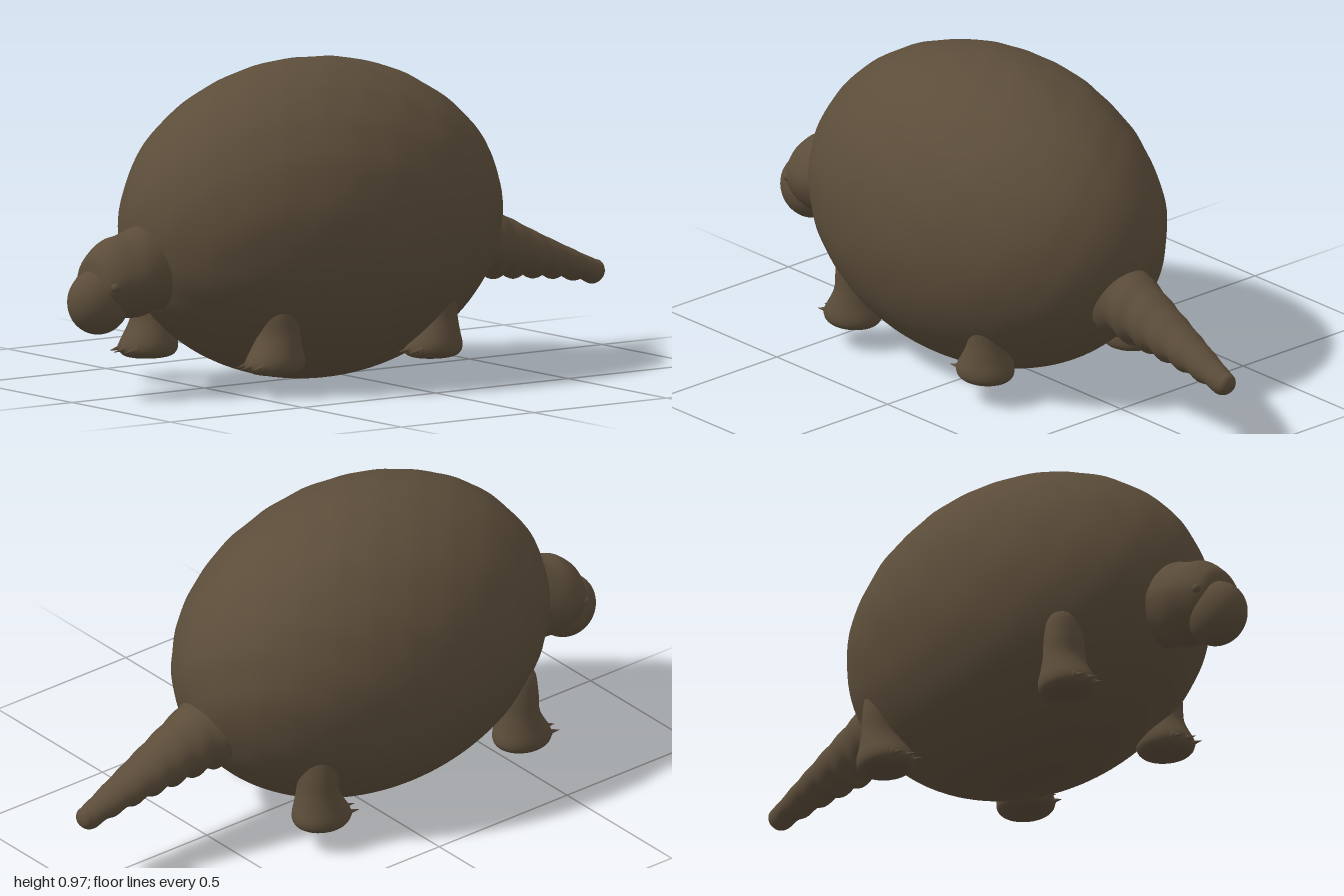
import * as THREE from 'three';
import { mergeVertices } from 'three/addons/utils/BufferGeometryUtils.js';

const hide = new THREE.MeshStandardMaterial({ color: 0x5c4d3a });
hide.name = 'brown hide';

function mesh(name, geometry, parent) {
  const m = new THREE.Mesh(geometry, hide);
  m.name = name;
  parent.add(m);
  return m;
}

// Moves every vertex by a rule and rebuilds smooth normals without a seam
function reshape(geometry, rule) {
  geometry.deleteAttribute('uv');
  geometry.deleteAttribute('normal');
  const g = mergeVertices(geometry, 1e-5);
  const p = g.attributes.position;
  const v = new THREE.Vector3();
  for (let i = 0; i < p.count; i++) {
    rule(v.fromBufferAttribute(p, i));
    p.setXYZ(i, v.x, v.y, v.z);
  }
  g.computeVertexNormals();
  return g;
}

// Soft irregular lumps, about -1 to 1
const lumps = (x, y, z) =>
  0.5 * Math.sin(23 * x + 9 * z + 1) * Math.sin(19 * y - 7 * x) +
  0.5 * Math.sin(31 * z + 11 * y) * Math.sin(27 * x + 13 * y + 2);

// Smooth skin over elliptical sections [z, centreY, radiusX, radiusY], z rising
function loft(sections, warp = () => {}, steps = 6, sides = 40) {
  const rows = [];
  const last = sections.length - 1;
  const pick = (i) => sections[Math.min(Math.max(i, 0), last)];
  const spline = (a, b, c, d, t) =>
    b + 0.5 * t * (c - a + t * (2 * a - 5 * b + 4 * c - d + t * (3 * (b - c) + d - a)));
  for (let i = 0; i < last; i++) {
    for (let s = 0; s < steps; s++) {
      rows.push(pick(i).map((b, k) =>
        spline(pick(i - 1)[k], b, pick(i + 1)[k], pick(i + 2)[k], s / steps)));
    }
  }
  rows.push(pick(last));
  const pos = [], index = [];
  rows.forEach(([z, cy, rx, ry], i) => {
    for (let j = 0; j < sides; j++) {
      const a = (j / sides) * Math.PI * 2;
      const v = new THREE.Vector3(Math.cos(a) * Math.max(rx, 0), Math.sin(a) * Math.max(ry, 0), z);
      warp(v);
      pos.push(v.x, v.y + cy, v.z);
      if (i === rows.length - 1) continue;
      const k = (j + 1) % sides;
      const p = i * sides + j, q = i * sides + k;
      index.push(p, q, p + sides, q, q + sides, p + sides);
    }
  });
  const g = new THREE.BufferGeometry();
  g.setAttribute('position', new THREE.Float32BufferAttribute(pos, 3));
  g.setIndex(index);
  g.computeVertexNormals();
  return g;
}

// Leg with a broad flat foot and three forward claws
function makeLeg(name, x, z) {
  const leg = new THREE.Group();
  leg.name = name;
  const profile = new THREE.SplineCurve([
    [0, 0.07], [0.055, 0.071], [0.079, 0.085], [0.084, 0.112], [0.076, 0.15],
    [0.067, 0.2], [0.064, 0.26], [0.05, 0.33], [0, 0.36],
  ].map(([r, y]) => new THREE.Vector2(r, y))).getPoints(32);
  profile.forEach((p) => { p.x = Math.max(p.x, 0); });
  // The shank sits behind the toes
  const geometry = reshape(new THREE.LatheGeometry(profile, 32), (v) => {
    const shank = THREE.MathUtils.smoothstep(v.y, 0.09, 0.2);
    v.z = v.z * (1.13 - 0.2 * shank) - 0.015 * shank;
  });
  mesh('foot and shank', geometry, leg);
  for (const i of [-1, 0, 1]) {
    const toe = mesh('toe', new THREE.SphereGeometry(0.019, 14, 10), leg);
    toe.position.set(i * 0.037, 0.1, 0.077 - 0.012 * Math.abs(i));
    const claw = mesh('claw', new THREE.ConeGeometry(0.01, 0.05, 10), leg);
    claw.position.set(i * 0.038, 0.097, 0.105 - 0.012 * Math.abs(i));
    claw.rotation.x = Math.PI / 2 + 0.15;
  }
  leg.position.set(x, 0, z);
  return leg;
}

export function createModel() {
  const model = new THREE.Group();
  model.name = 'armoured animal';

  // Big domed body, lumpy above and smooth on the belly
  mesh('body', reshape(new THREE.SphereGeometry(1, 96, 64), (v) => {
    const rough = THREE.MathUtils.smoothstep(v.y, -0.7, -0.2);
    const s = 1 + 0.006 * rough * lumps(v.x * 0.6, v.y * 0.6, v.z * 0.9);
    v.set(v.x * 0.44 * s, 0.489 + v.y * 0.487 * s, 0.1 + v.z * 0.648 * s);
  }), model);

  // Neck and crown, narrower on top than at the cheeks
  const head = new THREE.Group();
  head.name = 'head';
  model.add(head);
  mesh('neck and crown', loft([
    [0.58, 0.4, 0.1, 0.12], [0.7, 0.39, 0.115, 0.132], [0.76, 0.38, 0.125, 0.134],
    [0.81, 0.372, 0.128, 0.13], [0.86, 0.367, 0.116, 0.12], [0.9, 0.362, 0.1, 0.1],
    [0.925, 0.36, 0.07, 0.07], [0.935, 0.355, 0, 0],
  ], (v) => {
    v.x *= 1 - 1.1 * Math.max(v.y, 0) - 0.6 * Math.max(-v.y, 0);
    v.y *= 1 + 0.02 * Math.sin(60 * v.z);
  }), head);
  const snout = mesh('snout', new THREE.SphereGeometry(1, 40, 28), head);
  snout.scale.set(0.085, 0.1, 0.1);
  snout.position.set(0, 0.302, 0.9);
  for (const side of [-1, 1]) {
    const eye = mesh('eye', new THREE.SphereGeometry(0.015, 18, 12), head);
    eye.position.set(side * 0.09, 0.355, 0.902);
  }

  // Tapering tail with a ribbed underside
  mesh('tail', loft([
    [-1, 0.232, 0, 0], [-0.99, 0.232, 0.027, 0.028], [-0.96, 0.234, 0.037, 0.038],
    [-0.86, 0.268, 0.054, 0.05], [-0.74, 0.305, 0.073, 0.07], [-0.63, 0.338, 0.088, 0.092],
    [-0.54, 0.362, 0.105, 0.108], [-0.42, 0.385, 0.13, 0.125],
  ], (v) => {
    const rib = Math.sin((v.z * Math.PI * 2) / 0.075);
    v.y *= 1 + (v.y < 0 ? 0.11 : 0.012) * rib;
    v.x *= 1 + 0.02 * rib;
  }, 12), model);

  // Walking stance: each pair is staggered front to back
  model.add(makeLeg('frontLeftLeg', 0.257, 0.425));
  model.add(makeLeg('frontRightLeg', -0.26, 0.52));
  model.add(makeLeg('hindLeftLeg', 0.255, -0.17));
  model.add(makeLeg('hindRightLeg', -0.255, -0.26));

  return model;
}
